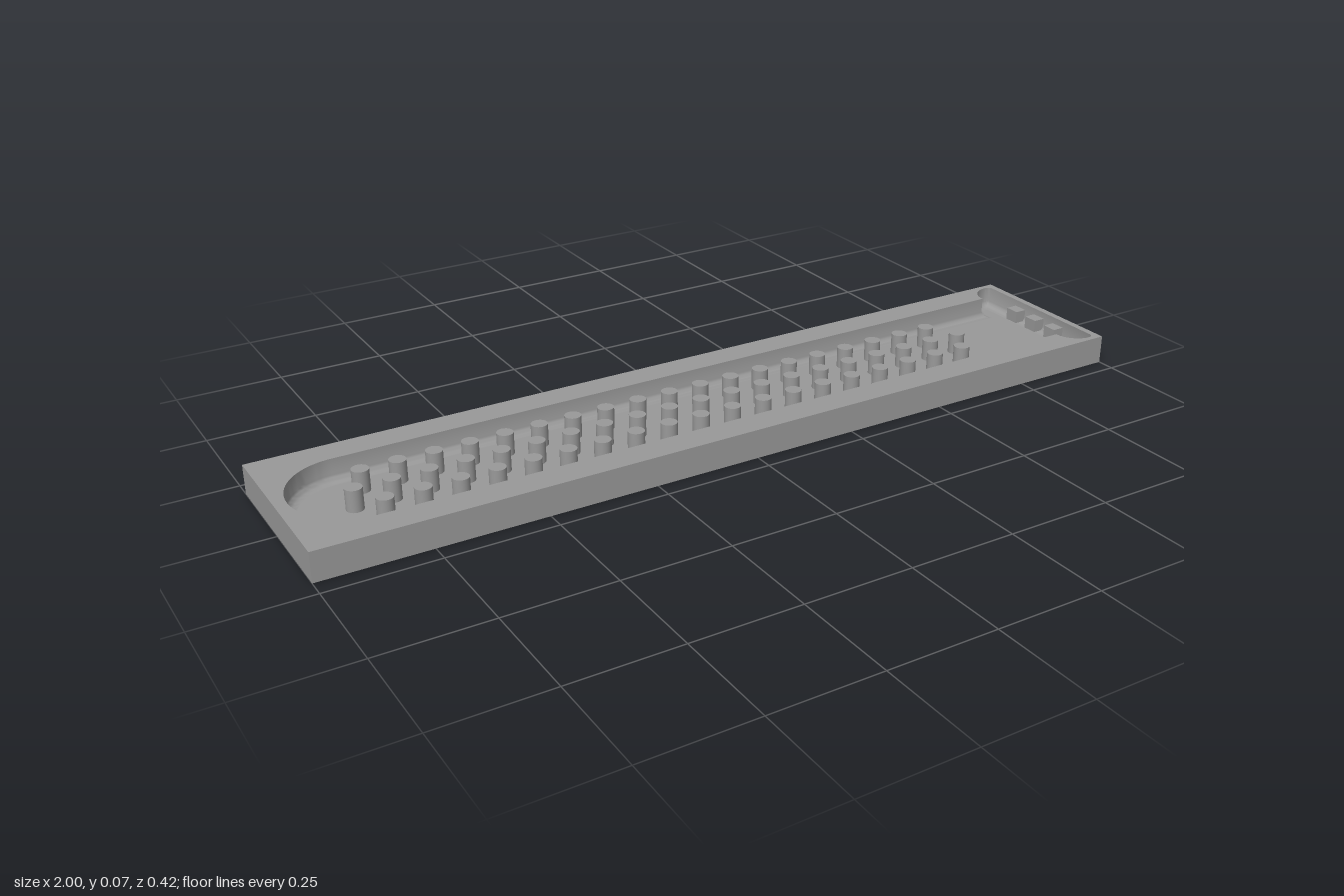
import * as THREE from 'three';
import { mergeGeometries, toCreasedNormals } from 'three/addons/utils/BufferGeometryUtils.js';

const L = 2, H = 0.068, W = 0.416;   // outer block
const FLOOR = 0.016, FILLET = 0.02;  // cavity floor height and floor fillet radius

// Plan outline of the cavity as [x, z] points, moved inward by o
function outline(o) {
  const half = 0.139 - o;      // channel half width
  const R = 0.056 - o;         // radius of the flared end
  const right = 0.984 - o;     // end wall
  const side = [];             // +z half, from the round end to the end wall
  for (let i = 0; i <= 24; i++) {
    const a = (i / 24) * Math.PI / 2;
    side.push([-0.834 - half * Math.cos(a), half * Math.sin(a)]);
  }
  const a0 = Math.asin(o / R), a1 = Math.acos(Math.max(0, 0.97 - Math.min(0.97, right)) / R);
  for (let i = 0; i <= 12; i++) {
    const a = -a0 + (a1 + a0) * i / 12;
    side.push([0.97 - R * Math.cos(a), 0.139 + R * Math.sin(a)]);
  }
  const r = Math.max(0.013 - o, 0.0005), top = side[side.length - 1][1];
  for (let i = 0; i <= 4; i++) {
    const a = (i / 4) * Math.PI / 2;
    side.push([right - r + r * Math.sin(a), top - r + r * Math.cos(a)]);
  }
  const mirror = side.slice(1).reverse().map(([x, z]) => [x, -z]);
  return side.concat(mirror);
}

// Horizontal face, facing up at height y
function flat(shape, y) {
  return new THREE.ShapeGeometry(shape).rotateX(-Math.PI / 2).translate(0, y, 0);
}

const toVec = ([x, z]) => new THREE.Vector2(x, -z);

// Cavity wall: straight drop, then a quarter-round into the floor
function cavityWall() {
  const levels = [[0, H]];
  for (let i = 0; i <= 6; i++) {
    const a = (i / 6) * Math.PI / 2;
    levels.push([FILLET * (1 - Math.cos(a)), FLOOR + FILLET * (1 - Math.sin(a))]);
  }
  const pos = [], index = [];
  let n = 0;
  levels.forEach(([o, y]) => {
    const ring = outline(o);
    n = ring.length;
    ring.forEach(([x, z]) => pos.push(x, y, z));
  });
  for (let k = 0; k < levels.length - 1; k++) {
    for (let i = 0; i < n; i++) {
      const a = k * n + i, b = k * n + (i + 1) % n;
      index.push(a, b, a + n, b, b + n, a + n);
    }
  }
  const g = new THREE.BufferGeometry();
  g.setAttribute('position', new THREE.Float32BufferAttribute(pos, 3));
  g.setIndex(index);
  g.computeVertexNormals();
  return toCreasedNormals(g, Math.PI / 5);
}

function bodyGeometry() {
  // Outer block without its top face
  const box = new THREE.BoxGeometry(L, H, W).translate(0, H / 2, 0);
  const idx = Array.from(box.index.array);
  idx.splice(12, 6);
  box.setIndex(idx);

  // Rim around the cavity opening
  const rim = new THREE.Shape([[-1, -W / 2], [1, -W / 2], [1, W / 2], [-1, W / 2]].map(toVec));
  rim.holes.push(new THREE.Path(outline(0).map(toVec)));
  const floor = new THREE.Shape(outline(FILLET).map(toVec));

  const parts = [box, flat(rim, H), flat(floor, FLOOR), cavityWall()].map((g) => {
    const p = g.index ? g.toNonIndexed() : g;
    p.deleteAttribute('uv');
    p.clearGroups();
    return p;
  });
  return mergeGeometries(parts);
}

export function createModel() {
  const model = new THREE.Group();
  model.name = 'peggedTray';
  const grey = new THREE.MeshStandardMaterial({ color: 0x999999 });
  grey.name = 'grey';

  const add = (parent, name, geometry, x, y, z) => {
    const mesh = new THREE.Mesh(geometry, grey);
    mesh.name = name;
    mesh.position.set(x, y, z);
    parent.add(mesh);
  };

  add(model, 'trayBody', bodyGeometry(), 0, 0, 0);

  // Three staggered rows of pegs
  const pegs = new THREE.Group();
  pegs.name = 'pegs';
  model.add(pegs);
  const pegTop = 0.066, pegH = pegTop - FLOOR;
  const peg = new THREE.CylinderGeometry(0.019, 0.019, pegH, 24);
  for (const [z, x0, count] of [[-0.07, -0.797, 19], [0, -0.837, 20], [0.07, -0.797, 19]]) {
    for (let i = 0; i < count; i++) add(pegs, 'peg', peg, x0 + i * 0.0817, FLOOR + pegH / 2, z);
  }

  // Small blocks on the end wall
  const blocks = new THREE.Group();
  blocks.name = 'endBlocks';
  model.add(blocks);
  const block = new THREE.BoxGeometry(0.03, 0.03, 0.036);
  for (const z of [-0.07, 0, 0.07]) add(blocks, 'endBlock', block, 0.97, 0.037, z);

  return model;
}
